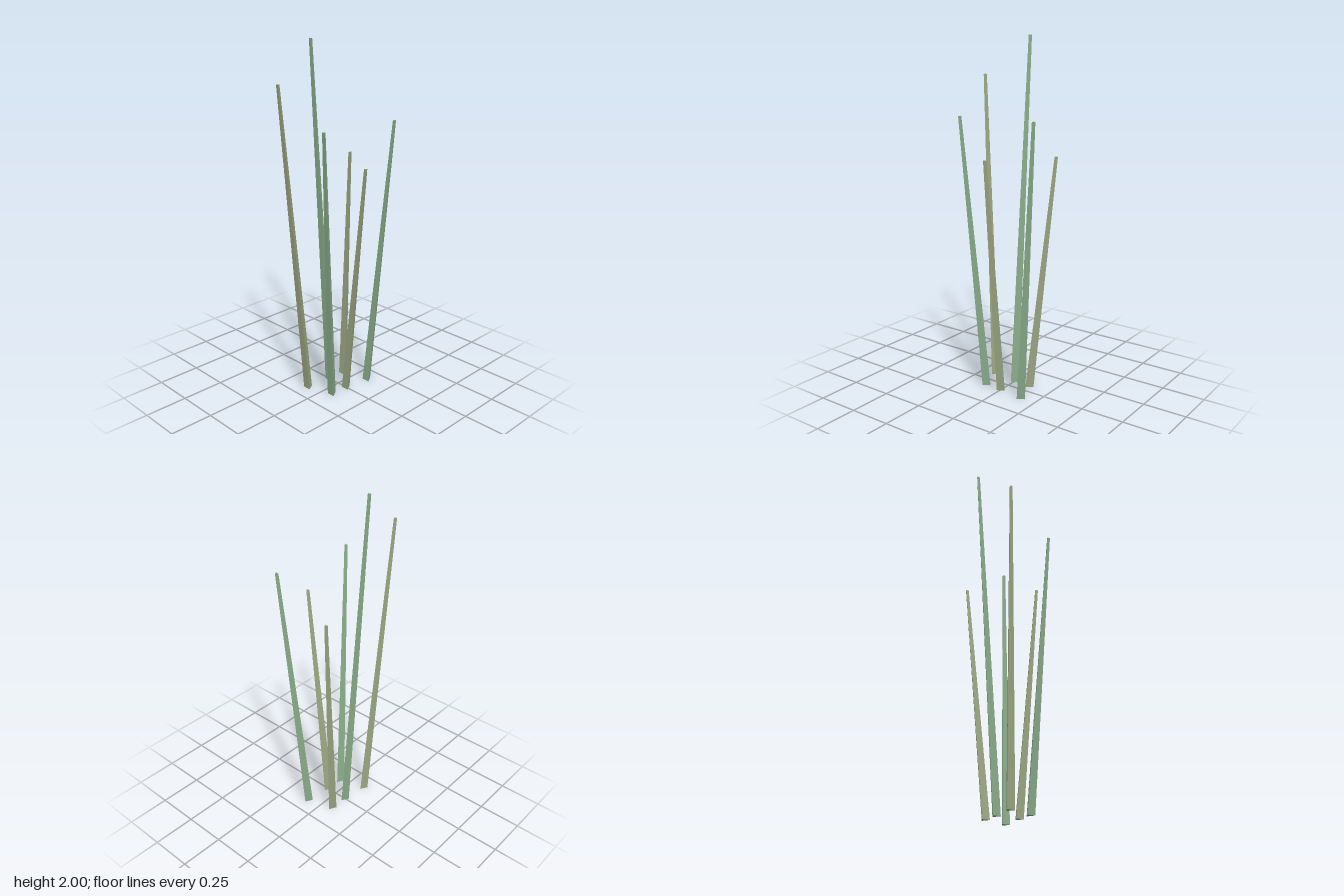
import * as THREE from 'three';

// Each stalk: foot centre (x, z), tip centre (x, z), height
const STALKS = [
  [0.069, 0.0015, 0.207, 0.001, 1.355],
  [0.062, 0.1105, 0.131, 0.23, 1.57],
  [-0.091, 0.158, -0.16, 0.278, 1.785],
  [-0.07, 0.0015, -0.208, 0.001, 2.0],
  [-0.0645, -0.1075, -0.132, -0.2267, 1.355],
  [0.09, -0.155, 0.159, -0.274, 1.57],
];
const FOOT_RADIUS = 0.0273;
const TIP_RADIUS = 0.0105;

// Three-sided tapered blade, sheared so that it leans outwards
function stalkGeometry([fx, fz, tx, tz, height]) {
  const geo = new THREE.CylinderGeometry(TIP_RADIUS, FOOT_RADIUS, height, 3, 1, false, Math.PI);
  geo.translate(0, height / 2, 0);
  const pos = geo.attributes.position;
  for (let i = 0; i < pos.count; i++) {
    const t = pos.getY(i) / height;
    pos.setX(i, pos.getX(i) + THREE.MathUtils.lerp(fx, tx, t));
    pos.setZ(i, pos.getZ(i) + THREE.MathUtils.lerp(fz, tz, t));
  }
  geo.computeVertexNormals();
  return geo;
}

export function createModel() {
  const group = new THREE.Group();
  group.name = 'grassClump';
  // Olive and green stalks alternate around the ring
  const materials = [0x99a480, 0x88aa88].map(
    (color) => new THREE.MeshStandardMaterial({ color, flatShading: true })
  );
  STALKS.forEach((stalk, i) => {
    const mesh = new THREE.Mesh(stalkGeometry(stalk), materials[i % 2]);
    mesh.name = `stalk${i + 1}`;
    group.add(mesh);
  });
  return group;
}
